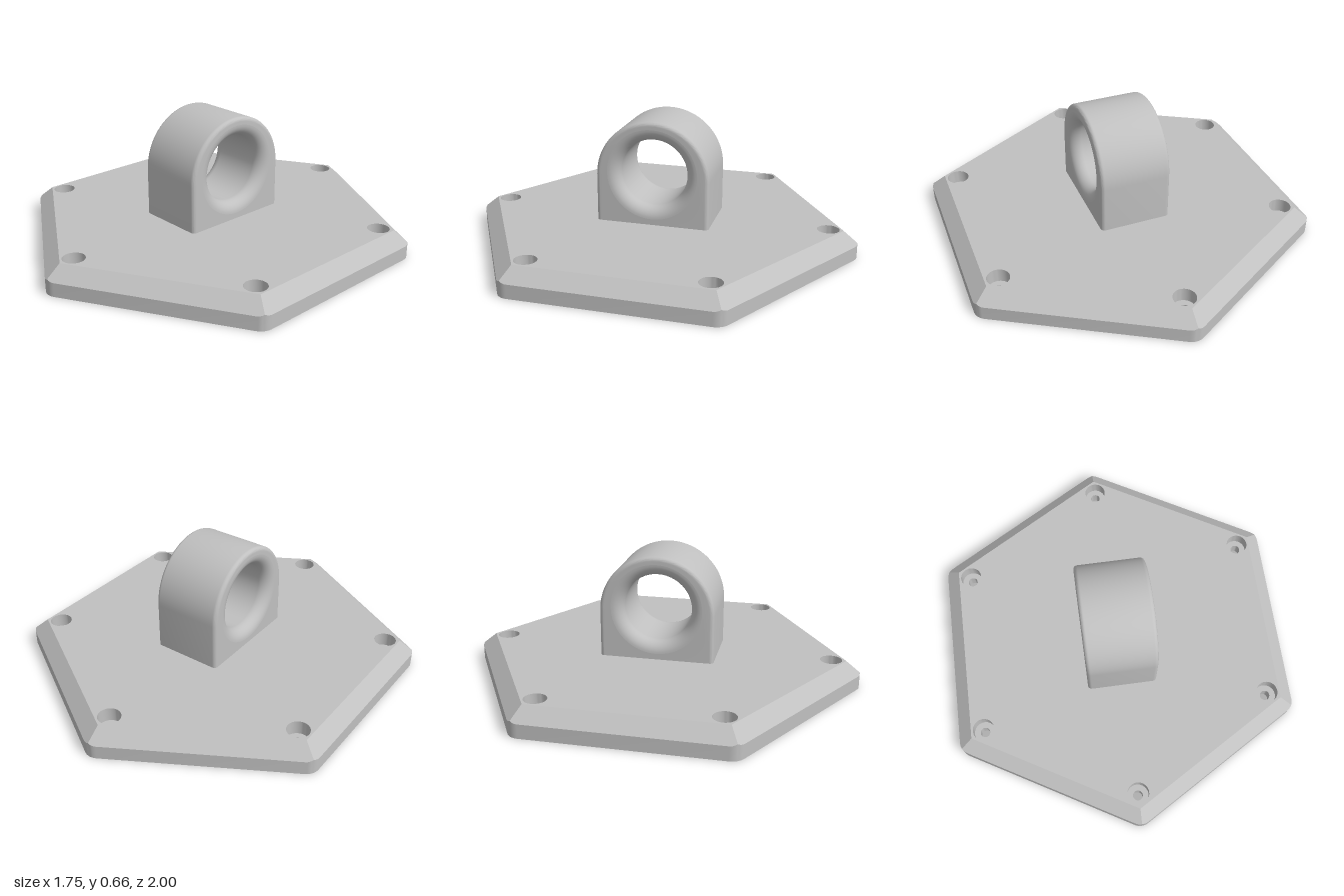
import * as THREE from 'three';
import { toCreasedNormals, mergeGeometries } from 'three/addons/utils/BufferGeometryUtils.js';

const PLATE_TOP = 0.135, CHAMFER_H = 0.065, TOP_R = 0.93, EDGE = 0.07;
const BOLT_R = 0.855, BORE = 0.055, PIN = 0.025;
const LUG_X = 0.18, LUG_R = 0.288, LUG_Y = 0.374, FILLET = 0.02;
const EYE_Y = 0.394, EYE_R = 0.17, FLARE = 0.06;

// Skin a list of rings, each an array of Vector3
function loft(rings, closed) {
  const pos = [], n = rings[0].length;
  for (let i = 0; i < rings.length - 1; i++) {
    for (let j = 0; j < (closed ? n : n - 1); j++) {
      const k = (j + 1) % n;
      const a = rings[i][j], b = rings[i][k], c = rings[i + 1][k], d = rings[i + 1][j];
      for (const t of [[a, b, c], [a, c, d]]) {
        const [p, q, r] = t;
        if (p.distanceTo(q) < 1e-6 || q.distanceTo(r) < 1e-6 || r.distanceTo(p) < 1e-6) continue;
        t.forEach((v) => pos.push(v.x, v.y, v.z));
      }
    }
  }
  const g = new THREE.BufferGeometry();
  g.setAttribute('position', new THREE.Float32BufferAttribute(pos, 3));
  return g;
}

const corners = (r) => Array.from({ length: 6 }, (_, k) => {
  const a = Math.PI / 2 + k * Math.PI / 3;
  return new THREE.Vector2(r * Math.cos(a), r * Math.sin(a));
});

function holed(points, centres, radius) {
  const shape = new THREE.Shape(points);
  for (const c of centres) {
    shape.holes.push(new THREE.Path().absarc(c.x, c.y, radius, 0, Math.PI * 2, true));
  }
  return new THREE.ShapeGeometry(shape, 24);
}

export function createModel() {
  const model = new THREE.Group();
  const grey = new THREE.MeshStandardMaterial({ color: 0xc0c0c0 });
  grey.name = 'grey';
  const add = (parent, name, geometry) => {
    const mesh = new THREE.Mesh(geometry, grey);
    mesh.name = name;
    parent.add(mesh);
    return mesh;
  };

  // Hexagonal base plate: rounded walls, chamfers meeting in sharp ridges
  const plate = new THREE.Group();
  plate.name = 'basePlate';
  model.add(plate);
  const outline = [], bottom = [], shoulder = [], rim = [];
  corners(TOP_R).forEach((c, k) => {
    for (let s = -4; s <= 4; s++) {
      const off = s / 4 * Math.PI / 6;
      const a = Math.PI / 2 + k * Math.PI / 3 + off;
      const x = c.x + EDGE * Math.cos(a), y = c.y + EDGE * Math.sin(a);
      const drop = CHAMFER_H * Math.cos(Math.PI / 6 - Math.abs(off));
      outline.push(new THREE.Vector2(x, y));
      bottom.push(new THREE.Vector3(x, 0, -y));
      shoulder.push(new THREE.Vector3(x, PLATE_TOP - drop, -y));
      rim.push(new THREE.Vector3(c.x, PLATE_TOP, -c.y));
    }
  });
  add(plate, 'plateEdge', toCreasedNormals(loft([bottom, shoulder, rim], true), 0.4));
  const bolts = corners(BOLT_R);
  add(plate, 'plateTop', holed(corners(TOP_R), bolts, BORE)
    .rotateX(-Math.PI / 2).translate(0, PLATE_TOP, 0));
  add(plate, 'plateUnderside', holed(outline, bolts, PIN).rotateX(Math.PI / 2));

  // Counterbored screw holes
  const boreProfile = [[BORE, PLATE_TOP], [BORE, 0.065], [PIN, 0.065], [PIN, 0]]
    .map(([r, y]) => new THREE.Vector2(r, y));
  const boreGeometry = toCreasedNormals(new THREE.LatheGeometry(boreProfile, 48), 0.6);
  for (const b of bolts) add(plate, 'screwHole', boreGeometry).position.set(b.x, 0, -b.y);

  // Arched lug outline, shrunk by an inset
  const arch = (inset) => {
    const r = LUG_R - inset, pts = [new THREE.Vector2(-r, PLATE_TOP - 0.005)];
    for (let i = 0; i <= 48; i++) {
      const a = Math.PI * (1 - i / 48);
      pts.push(new THREE.Vector2(r * Math.cos(a), LUG_Y + r * Math.sin(a)));
    }
    pts.push(new THREE.Vector2(r, PLATE_TOP - 0.005));
    return pts;
  };
  const lug = new THREE.Group();
  lug.name = 'lug';
  model.add(lug);

  // Outer band with small rounded edges, and the two flat cheeks
  const sections = [];
  for (let i = 0; i <= 6; i++) {
    const a = i / 6 * Math.PI / 2;
    sections.push([-LUG_X + FILLET * (1 - Math.cos(a)), FILLET * (1 - Math.sin(a))]);
  }
  sections.push(...sections.map(([x, inset]) => [-x, inset]).reverse());
  const band = loft(sections.map(([x, inset]) =>
    arch(inset).map((p) => new THREE.Vector3(x, p.y, p.x))), false);
  const cheeks = [1, -1].map((side) => {
    const g = holed(arch(FILLET), [new THREE.Vector2(0, EYE_Y)], EYE_R + FLARE)
      .rotateY(side * Math.PI / 2).translate(side * LUG_X, 0, 0).toNonIndexed();
    g.deleteAttribute('uv');
    g.deleteAttribute('normal');
    return g;
  });
  add(lug, 'lugBody', toCreasedNormals(mergeGeometries([band, ...cheeks]), 0.5));

  // Flared eye through the lug
  const flare = [];
  for (let i = 0; i <= 10; i++) {
    const a = i / 10 * Math.PI / 2;
    flare.push(new THREE.Vector2(EYE_R + FLARE * (1 - Math.sin(a)), LUG_X - FLARE * (1 - Math.cos(a))));
  }
  const eye = [...flare, ...flare.map((p) => new THREE.Vector2(p.x, -p.y)).reverse()];
  add(lug, 'eye', new THREE.LatheGeometry(eye, 48).rotateZ(-Math.PI / 2).translate(0, EYE_Y, 0));

  return model;
}
